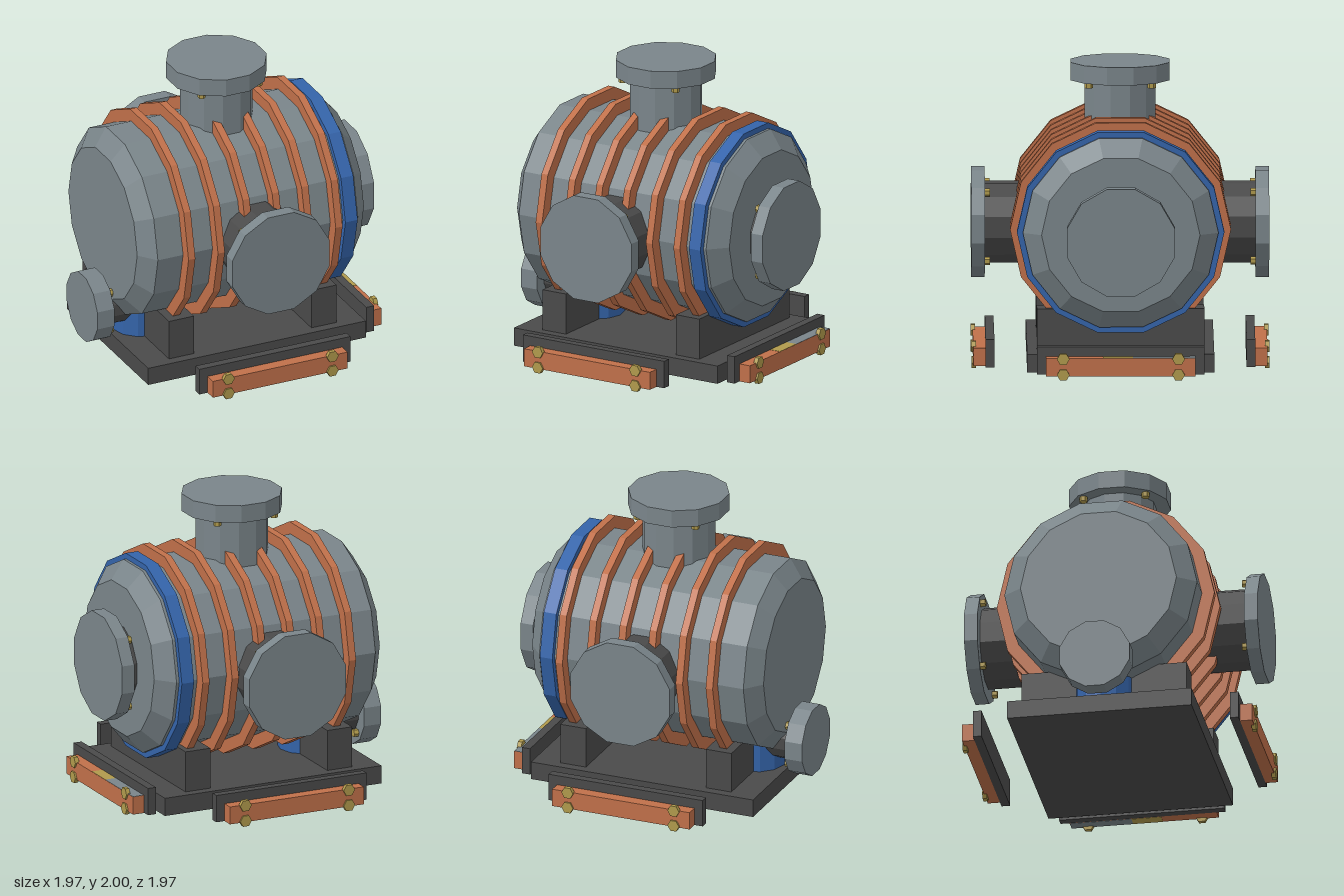
import * as THREE from 'three';

const mat = (name, color) => {
  const m = new THREE.MeshStandardMaterial({ color, flatShading: true });
  m.name = name;
  return m;
};

export function createModel() {
  const steel = mat('steel grey', 0x7a858a);
  const dark = mat('dark grey', 0x4a4a4a);
  const copper = mat('copper', 0xc0704a);
  const blue = mat('blue', 0x3464aa);
  const brass = mat('brass', 0xb09a4c);

  const model = new THREE.Group();
  model.name = 'pressureVessel';
  const H = Math.PI / 2;
  const AXIS_Y = 0.952;

  const add = (parent, name, geo, material, x = 0, y = 0, z = 0) => {
    const mesh = new THREE.Mesh(geo, material);
    mesh.name = name;
    mesh.position.set(x, y, z);
    parent.add(mesh);
    return mesh;
  };
  // Box given by its lower and upper corners
  const box = (parent, name, material, a, b) =>
    add(parent, name, new THREE.BoxGeometry(b[0] - a[0], b[1] - a[1], b[2] - a[2]), material,
      (a[0] + b[0]) / 2, (a[1] + b[1]) / 2, (a[2] + b[2]) / 2);
  const lathe = (pts, sides) =>
    new THREE.LatheGeometry(pts.map(p => new THREE.Vector2(p[0], p[1])), sides);

  // Tank with bevelled ends, lying along x
  const tank = add(model, 'tank',
    lathe([[0, -0.835], [0.525, -0.835], [0.648, -0.742], [0.648, 0.728], [0.525, 0.832], [0, 0.832]], 14),
    steel, 0, AXIS_Y, 0);
  tank.rotation.z = -H;

  // Hoops around the tank
  const hoop = (name, material, r, width, x) => {
    const w = width / 2;
    const ring = add(model, name,
      lathe([[0.6, -w], [r, -w], [r, w], [0.6, w]], 14), material, x, AXIS_Y, 0);
    ring.rotation.z = -H;
  };
  for (let i = 0; i < 6; i++) hoop('rib', copper, 0.732, 0.05, -0.532 + i * 0.2165);
  hoop('blueBand', blue, 0.687, 0.09, 0.663);

  // Flanged nozzle built along +y, then turned into place
  const nozzle = (name, o) => {
    const g = new THREE.Group();
    g.name = name;
    const tube = (part, r, y0, y1, m) =>
      add(g, part, new THREE.CylinderGeometry(r, r, y1 - y0, 12, 1, false, Math.PI / 12),
        m, 0, (y0 + y1) / 2, 0);
    tube('neck', o.neckR, o.from, o.flange + 0.01, o.neckMat || dark);
    tube('flange', o.flangeR, o.flange, o.to, steel);
    for (let k = 0; k < 4; k++) {
      const a = Math.PI / 4 + k * H;
      add(g, 'flangeBolt', new THREE.CylinderGeometry(0.027, 0.027, 0.04, 6), brass,
        Math.cos(a) * o.boltR, o.flange - 0.014, Math.sin(a) * o.boltR);
    }
    g.position.y = o.y;
    g.rotation.set(o.rx || 0, 0, o.rz || 0);
    model.add(g);
  };
  nozzle('topNozzle', { y: 0, neckR: 0.244, flangeR: 0.339, from: 1.5, flange: 1.88, to: 2, boltR: 0.295, neckMat: steel });
  const side = { y: 0.922, neckR: 0.274, flangeR: 0.37, from: 0.55, flange: 0.897, to: 0.987, boltR: 0.325 };
  nozzle('frontNozzle', { ...side, rx: H });
  nozzle('backNozzle', { ...side, rx: -H });
  nozzle('leftNozzle', { ...side, rz: -H });
  nozzle('drainNozzle', { y: 0.367, neckR: 0.155, flangeR: 0.243, from: 0.6, flange: 0.863, to: 0.988, boltR: 0.19, rz: H });

  // Upright drain sump under the tank
  add(model, 'sump', new THREE.CylinderGeometry(0.2, 0.2, 0.4, 12), blue, -0.56, 0.24, 0);

  // Base plate and saddles
  box(model, 'basePlate', dark, [-0.8, 0.027, -0.62], [0.8, 0.15, 0.62]);
  for (const s of [-1, 1]) {
    const x = s * 0.524;
    box(model, 'saddle', dark, [x - 0.092, 0.14, -0.555], [x + 0.092, 0.428, 0.555]);
  }

  // Bumpers on three sides, each a backing plate, a bar and four bolts
  for (const [name, turn] of [['frontBumper', 0], ['leftBumper', H], ['backBumper', Math.PI]]) {
    const g = new THREE.Group();
    g.name = name;
    box(g, 'bumperBacking', dark, [-0.555, 0.027, 0.835], [0.555, 0.213, 0.893]);
    box(g, 'bumperBar', copper, [-0.495, 0.027, 0.893], [0.495, 0.148, 0.975]);
    for (const x of [-0.382, 0.382]) for (const y of [0.037, 0.143]) {
      const bolt = add(g, 'bumperBolt', new THREE.CylinderGeometry(0.042, 0.042, 0.03, 6, 1, false, Math.PI / 6), brass, x, y, 0.972);
      bolt.rotation.x = H;
    }
    g.rotation.y = turn;
    model.add(g);
  }

  // Painted patches along the top and underside of the left bumper bar
  for (const y of [0.025, 0.147]) {
    box(model, 'bumperSteelPatch', steel, [0.895, y, -0.494], [0.974, y + 0.003, -0.08]);
    box(model, 'bumperBrassPatch', brass, [0.895, y, -0.08], [0.974, y + 0.003, 0.12]);
  }
  return model;
}
